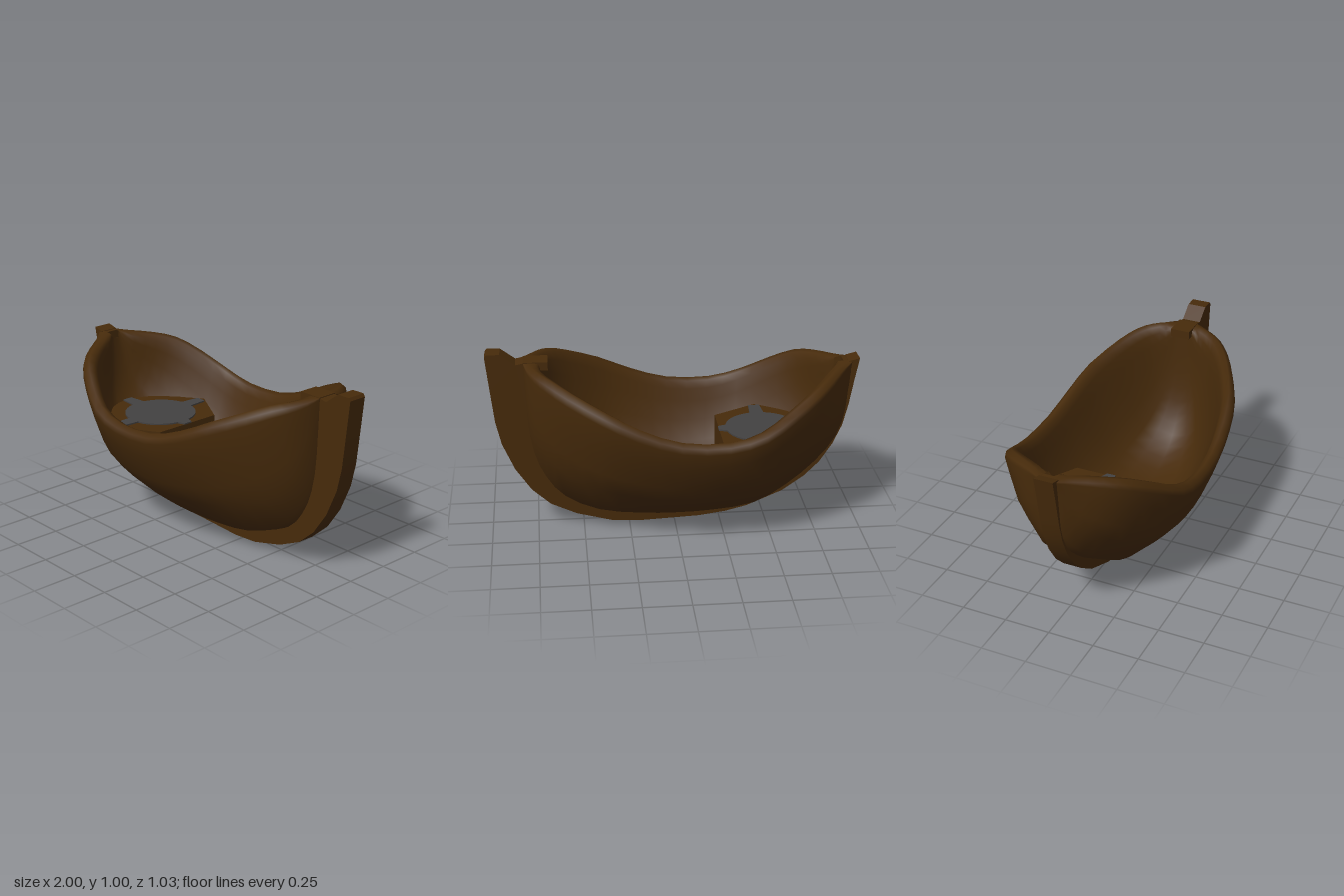
import * as THREE from 'three';
import { toCreasedNormals } from 'three/addons/utils/BufferGeometryUtils.js';

const wood = new THREE.MeshStandardMaterial({ color: 0x472b0b, side: THREE.DoubleSide });
wood.name = 'dark wood';
const grey = new THREE.MeshStandardMaterial({ color: 0x434141 });
grey.name = 'dark grey';

function add(parent, name, geometry, material, x = 0, y = 0, z = 0) {
  const mesh = new THREE.Mesh(geometry, material);
  mesh.name = name;
  mesh.position.set(x, y, z);
  parent.add(mesh);
  return mesh;
}

// Joins closed loops of points into a skin; optional flat caps on both ends
function loft(rows, capped = false) {
  const n = rows[0].length, index = [];
  for (let i = 0; i < rows.length - 1; i++) {
    for (let j = 0; j < n; j++) {
      const a = i * n + j, b = i * n + (j + 1) % n;
      index.push(a, a + n, b, b, a + n, b + n);
    }
  }
  if (capped) {
    const last = (rows.length - 1) * n;
    for (let j = 1; j < n - 1; j++) index.push(0, j, j + 1, last, last + j + 1, last + j);
  }
  const g = new THREE.BufferGeometry();
  g.setAttribute('position', new THREE.Float32BufferAttribute(rows.flat(2), 3));
  g.setIndex(index);
  g.computeVertexNormals();
  return g;
}

// Hull stations: keel x, keel y, rim x, rim y, rim half width
const stations = [
  [-0.965, 0.86, -0.97, 0.90, 0.04], [-0.94, 0.62, -0.90, 0.89, 0.12],
  [-0.88, 0.46, -0.82, 0.872, 0.24], [-0.76, 0.33, -0.73, 0.84, 0.35],
  [-0.60, 0.21, -0.60, 0.77, 0.435], [-0.42, 0.12, -0.44, 0.685, 0.50],
  [-0.20, 0.09, -0.25, 0.637, 0.515], [0, 0.08, 0, 0.645, 0.51],
  [0.20, 0.08, 0.22, 0.715, 0.488], [0.42, 0.10, 0.40, 0.80, 0.445],
  [0.60, 0.17, 0.58, 0.88, 0.35], [0.70, 0.28, 0.68, 0.922, 0.27],
  [0.76, 0.42, 0.74, 0.937, 0.20], [0.79, 0.62, 0.78, 0.945, 0.12],
  [0.80, 0.90, 0.80, 0.95, 0.05],
];
// Half section from keel over the rim to the inner floor: width, height, inset
const section = [
  [0, 0, 0], [0.37, 0.05, 0], [0.66, 0.30, 0], [0.82, 0.48, 0], [0.94, 0.75, 0],
  [1, 0.91, 0], [0.985, 0.965, 0], [0.93, 1, 0.03], [0.88, 0.975, 0.07], [0.845, 0.90, 0.09],
  [0.81, 0.78, 0.1], [0.74, 0.60, 0.1], [0.63, 0.40, 0.1], [0.47, 0.24, 0.1],
  [0.28, 0.16, 0.1], [0, 0.13, 0.1],
];

function hullGeometry() {
  const curve = pick => new THREE.CatmullRomCurve3(stations.map(pick), false, 'catmullrom', 0.5);
  const keel = curve(s => new THREE.Vector3(s[0], s[1], 0));
  const rim = curve(s => new THREE.Vector3(s[2], s[3], s[4]));
  const rows = [], steps = (stations.length - 1) * 2;
  for (let i = 0; i <= steps; i++) {
    const k = keel.getPoint(i / steps), r = rim.getPoint(i / steps);
    const half = section.map(([w, h, inset]) => [
      (k.x + (r.x - k.x) * h) * (1 - inset) - 0.05 * inset, k.y + (r.y - k.y) * h, r.z * w,
    ]);
    rows.push([...half, ...half.slice(1, -1).reverse().map(([x, y, z]) => [x, y, -z])]);
  }
  return loft(rows);
}

// Keel outline: outside edge bow to stern, then back along the hull bottom
function keelGeometry() {
  const outline = [
    [-1, 0.915], [-0.975, 0.79], [-0.95, 0.65], [-0.92, 0.53], [-0.87, 0.42], [-0.8, 0.315],
    [-0.72, 0.235], [-0.6, 0.15], [-0.4, 0.065], [-0.28, 0.035], [-0.13, 0.015], [0.2, 0],
    [0.35, 0.01], [0.54, 0.06], [0.68, 0.125], [0.78, 0.215], [0.865, 0.34], [0.93, 0.49],
    [0.96, 0.62], [0.98, 0.8], [1, 0.985], [0.99, 1], [0.92, 1], [0.84, 0.94], [0.79, 0.95],
    [0.78, 0.62], [0.75, 0.43], [0.69, 0.3], [0.59, 0.2], [0.42, 0.13], [0.2, 0.105], [0, 0.105],
    [-0.2, 0.115], [-0.42, 0.15], [-0.6, 0.24], [-0.75, 0.36], [-0.87, 0.48], [-0.92, 0.63], [-0.94, 0.9],
  ].map(p => new THREE.Vector2(...p));
  const g = new THREE.ExtrudeGeometry(new THREE.Shape(outline), { depth: 0.104, bevelEnabled: false });
  return toCreasedNormals(g.translate(0, 0, -0.052), 0.6);
}

// Small raised deck that narrows downward between the sides
const deckY = 0.51;
function deckGeometry() {
  const ring = (y, half) => [
    ...half.map(([x, z]) => [x, y, z]),
    ...half.slice().reverse().map(([x, z]) => [x, y, -z]),
  ];
  const bottom = ring(0.2, [[-0.25, 0.2], [-0.33, 0.2], [-0.4, 0.18], [-0.46, 0.12], [-0.5, 0.04]]);
  const top = ring(deckY, [[-0.25, 0.2], [-0.5, 0.345], [-0.62, 0.31], [-0.74, 0.22], [-0.82, 0.1]]);
  return toCreasedNormals(loft([top, bottom], true), 0.3);
}

// Thin plate: a disc outline with four tapering lugs
function plateGeometry() {
  const shape = new THREE.Shape();
  const lugs = [[0, 0.24], [Math.PI / 2, 0.31], [Math.PI, 0.3], [Math.PI * 1.5, 0.31]];
  const at = (r, a) => new THREE.Vector2(r * Math.cos(a), r * Math.sin(a));
  const points = [];
  for (const [a, reach] of lugs) {
    points.push(at(0.2, a - 0.2), at(reach, a - 0.1), at(reach, a + 0.1));
    for (let i = 0; i < 7; i++) points.push(at(0.2, a + 0.2 + i * (Math.PI / 2 - 0.4) / 7));
  }
  shape.setFromPoints(points);
  return new THREE.ExtrudeGeometry(shape, { depth: 0.008, bevelEnabled: false }).rotateX(-Math.PI / 2);
}

export function createModel() {
  const model = new THREE.Group();
  model.name = 'boat';
  add(model, 'hull', hullGeometry(), wood);
  add(model, 'keel', keelGeometry(), wood);

  // Blocks where the rim meets the end posts
  add(model, 'sternBlock', new THREE.BoxGeometry(0.13, 0.045, 0.11), wood, 0.735, 0.93, 0);
  add(model, 'bowBlock', new THREE.BoxGeometry(0.06, 0.045, 0.1), wood, -0.945, 0.875, 0);

  add(model, 'deck', deckGeometry(), wood);
  add(model, 'deckPlate', plateGeometry(), grey, -0.485, deckY, 0);
  return model;
}
